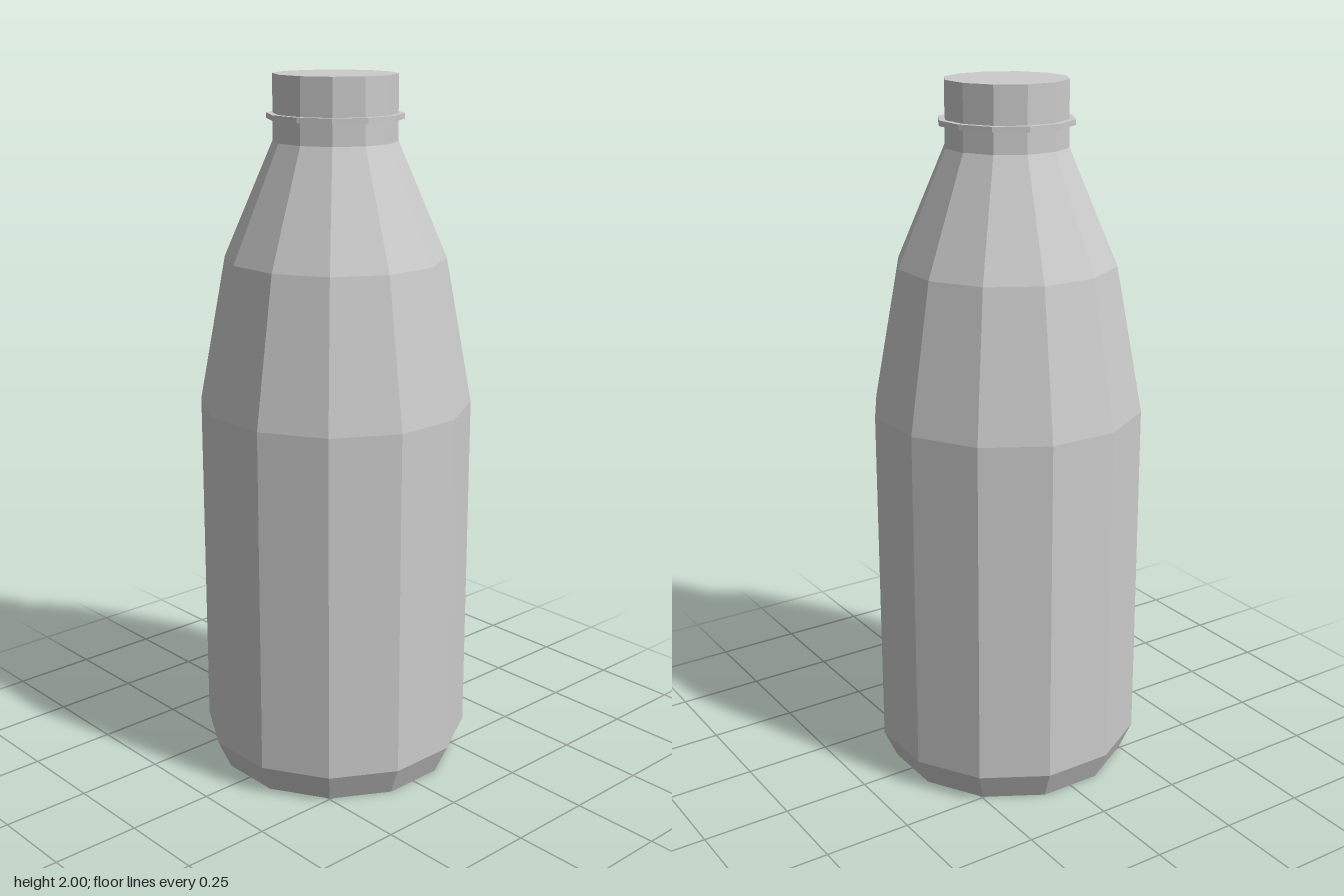
import * as THREE from 'three';

const SIDES = 12;
const TO_CORNER = 1 / Math.cos(Math.PI / SIDES);

// Faceted turned part; profile radii are measured to the middle of each facet.
function turned(name, profile, material) {
  const points = profile.map(([r, y]) => new THREE.Vector2(r * TO_CORNER, y));
  const geometry = new THREE.LatheGeometry(points, SIDES, Math.PI / SIDES);
  const mesh = new THREE.Mesh(geometry, material);
  mesh.name = name;
  return mesh;
}

export function createModel() {
  const group = new THREE.Group();
  group.name = 'bottle';
  const material = new THREE.MeshStandardMaterial({ color: 0xcccccc, flatShading: true });

  // Body: hollowed base, straight wall, tapering shoulders and neck
  group.add(turned('body', [
    [0, 0.08], [0.295, 0.01], [0.337, 0], [0.374, 0.085], [0.374, 1.085],
    [0.3, 1.5], [0.167, 1.82], [0.166, 1.88],
  ], material));

  // Thin collar around the neck
  group.add(turned('neckRing', [
    [0.16, 1.88], [0.183, 1.88], [0.183, 1.895], [0.16, 1.895],
  ], material));

  // Closed cap
  group.add(turned('cap', [
    [0.166, 1.88], [0.166, 2], [0, 2],
  ], material));

  return group;
}
